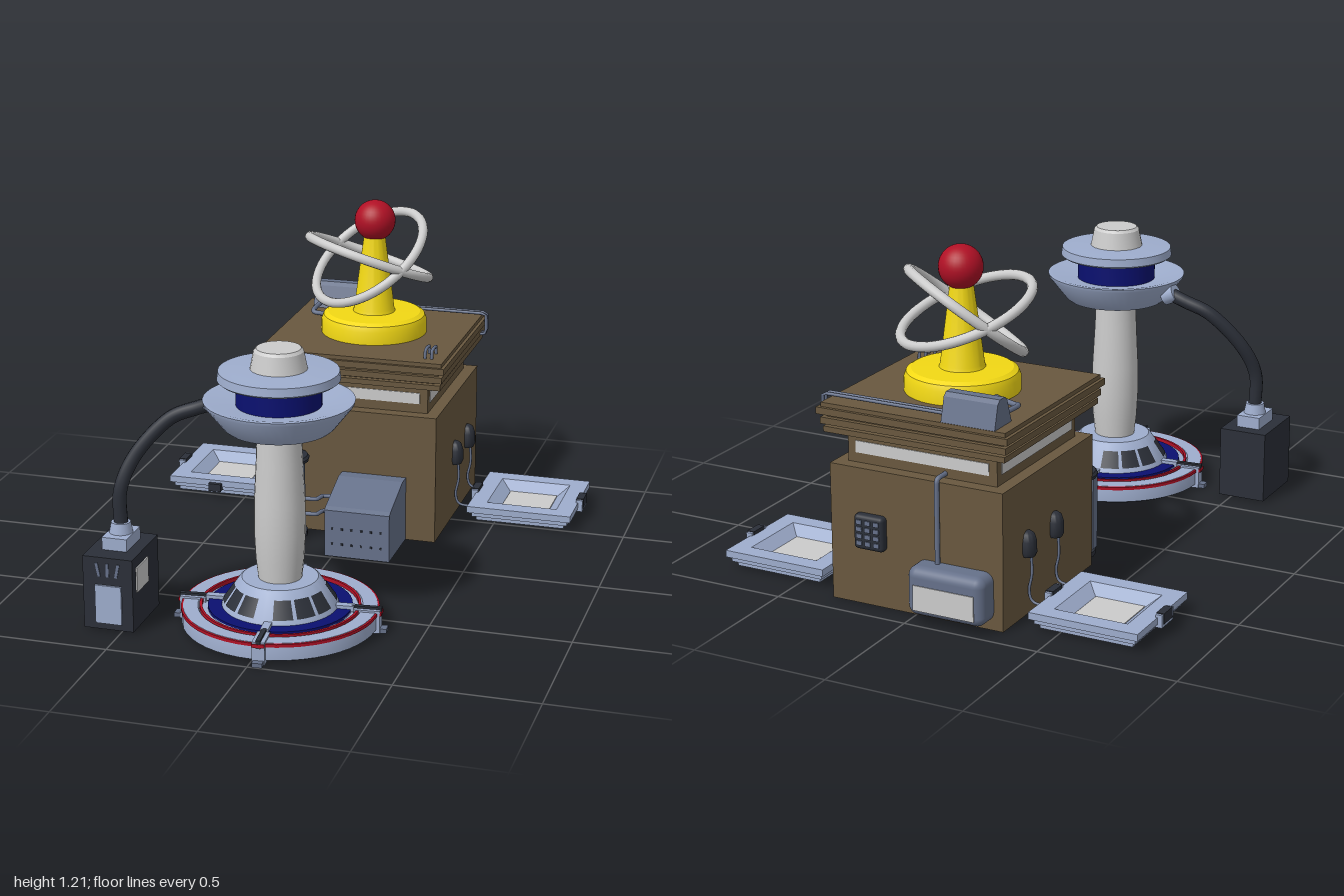
import * as THREE from 'three';
import { toCreasedNormals } from 'three/addons/utils/BufferGeometryUtils.js';
import { RoundedBoxGeometry } from 'three/addons/geometries/RoundedBoxGeometry.js';

const mat = (color) => new THREE.MeshStandardMaterial({ color });
const M = {
  grey: mat(0xcccccc), blue: mat(0x9eadcd), slate: mat(0x66718a), dark: mat(0x2b2f38),
  brown: mat(0x69583f), navy: mat(0x0a1070), red: mat(0xb01025), yellow: mat(0xf2d814),
};
const V = (x, y, z) => new THREE.Vector3(x, y, z);

function add(parent, name, geo, m, x = 0, y = 0, z = 0) {
  const mesh = new THREE.Mesh(geo, m);
  mesh.name = name;
  mesh.position.set(x, y, z);
  parent.add(mesh);
  return mesh;
}
// box given by its low and high corners
function box(parent, name, m, [x0, y0, z0], [x1, y1, z1]) {
  return add(parent, name, new THREE.BoxGeometry(x1 - x0, y1 - y0, z1 - z0), m,
    (x0 + x1) / 2, (y0 + y1) / 2, (z0 + z1) / 2);
}
// turned part, profile of [radius, y] from bottom to top
function turned(parent, name, m, profile, segments = 48, crease = 0.5) {
  const g = new THREE.LatheGeometry(profile.map(([r, y]) => new THREE.Vector2(r, y)), segments);
  return add(parent, name, toCreasedNormals(g, crease), m);
}
function tube(parent, name, m, pts, radius, tension = 0.5, steps = 32) {
  const curve = new THREE.CatmullRomCurve3(pts.map((p) => V(...p)), false, 'catmullrom', tension);
  return add(parent, name, new THREE.TubeGeometry(curve, steps, radius, 10), m);
}
// side profile of [z, y] swept from x0 to x1
function prism(parent, name, m, profile, x0, x1) {
  const shape = new THREE.Shape(profile.map(([z, y]) => new THREE.Vector2(z, y)));
  const g = new THREE.ExtrudeGeometry(shape, { depth: x1 - x0, bevelEnabled: false });
  return add(parent, name, g.rotateY(-Math.PI / 2).translate(x1, 0, 0), m);
}
function group(parent, name, x = 0, y = 0, z = 0) {
  const g = new THREE.Group();
  g.name = name;
  g.position.set(x, y, z);
  parent.add(g);
  return g;
}

function buildTower(root) {
  const t = group(root, 'tower', 0, 0, 0.625);
  turned(t, 'baseUnderside', M.dark, [[0, 0.006], [0.325, 0.006], [0.325, 0.014], [0, 0.014]]);
  turned(t, 'baseDisc', M.blue, [[0.3, 0.01], [0.34, 0.014], [0.34, 0.062], [0.336, 0.075], [0.285, 0.075],
    [0.28, 0.066], [0.25, 0.066], [0.25, 0.07], [0, 0.07]]);
  turned(t, 'redRim', M.red, [[0.338, 0.062], [0.343, 0.062], [0.343, 0.073], [0.335, 0.074]]);
  turned(t, 'redStep', M.red, [[0.279, 0.066], [0.279, 0.08], [0.27, 0.08], [0.27, 0.066]]);
  turned(t, 'navyRing', M.navy, [[0.25, 0.066], [0.25, 0.078], [0.2, 0.078]]);
  turned(t, 'baseCone', M.blue, [[0.205, 0.07], [0.2, 0.085], [0.14, 0.172], [0.132, 0.178], [0, 0.178]]);

  // dark panels round the cone, three to each quadrant
  for (let q = 0; q < 4; q++) {
    for (let k = 0; k < 3; k++) {
      const start = q * Math.PI / 2 + 0.17 + k * 0.43;
      add(t, 'conePanel', new THREE.CylinderGeometry(0.157, 0.196, 0.057, 6, 1, true, start, 0.36), M.dark, 0, 0.123, 0);
    }
    // clamps over the rim
    const c = group(t, 'clamp');
    c.rotation.y = q * Math.PI / 2 + 0.09;
    box(c, 'clampBar', M.blue, [-0.022, 0.0, 0.26], [0.022, 0.082, 0.352]);
    box(c, 'clampRib', M.dark, [-0.008, 0.06, 0.25], [0.008, 0.09, 0.356]);
    box(c, 'clampEnd', M.red, [-0.022, 0.064, 0.352], [0.022, 0.076, 0.357]);
    box(c, 'clampFoot', M.slate, [-0.018, 0, 0.34], [0.018, 0.016, 0.375]);
    box(c, 'coneRib', M.blue, [-0.014, 0.07, 0.12], [0.014, 0.09, 0.26]);
  }
  turned(t, 'column', M.grey, [[0.075, 0.17], [0.084, 0.25], [0.089, 0.35], [0.088, 0.45], [0.08, 0.6], [0.075, 0.73]], 24);
  turned(t, 'saucer', M.blue, [[0, 0.718], [0.18, 0.718], [0.192, 0.728], [0.255, 0.808], [0.258, 0.82], [0.24, 0.82],
    [0.16, 0.802], [0, 0.802]]);
  turned(t, 'navyDrum', M.navy, [[0.146, 0.8], [0.146, 0.89]]);
  turned(t, 'lid', M.blue, [[0, 0.886], [0.2, 0.886], [0.209, 0.893], [0.205, 0.922], [0.165, 0.924], [0.11, 0.928], [0, 0.928]]);
  turned(t, 'cap', M.grey, [[0.098, 0.925], [0.095, 0.94], [0.085, 0.99], [0.076, 1.0], [0, 1.0]], 24);
}

function buildPowerBox(root) {
  const p = group(root, 'powerBox');
  box(p, 'cabinet', M.dark, [-0.635, 0.006, 0.6], [-0.455, 0.27, 0.855]);
  box(p, 'frontPanel', M.blue, [-0.59, 0.03, 0.85], [-0.495, 0.17, 0.863]);
  box(p, 'sidePanel', M.grey, [-0.46, 0.14, 0.71], [-0.45, 0.23, 0.82]);
  for (let i = -1; i <= 1; i++) {
    const s = box(p, 'slot', M.slate, [-0.55 + i * 0.035, 0.2, 0.85], [-0.54 + i * 0.035, 0.25, 0.858]);
    s.rotation.z = -i * 0.2;
  }
  box(p, 'collarBlock', M.blue, [-0.59, 0.27, 0.65], [-0.5, 0.315, 0.785]);
  add(p, 'collar', new THREE.CylinderGeometry(0.034, 0.042, 0.04, 20), M.blue, -0.545, 0.333, 0.715);
  tube(p, 'hose', M.dark, [[-0.545, 0.34, 0.715], [-0.545, 0.47, 0.71], [-0.5, 0.59, 0.665], [-0.4, 0.705, 0.615],
    [-0.3, 0.75, 0.595], [-0.23, 0.775, 0.595]], 0.025, 0.5, 48);
  const joint = add(p, 'hoseJoint', new THREE.CylinderGeometry(0.034, 0.034, 0.05, 20), M.blue, -0.24, 0.77, 0.595);
  joint.rotation.z = 1.15;
}

function buildHouse(root) {
  const h = group(root, 'house', 0, 0, -0.582);
  box(h, 'walls', M.brown, [-0.33, 0, -0.333], [0.33, 0.49, 0.333]);
  box(h, 'neck', M.brown, [-0.285, 0.49, -0.285], [0.285, 0.61, 0.285]);
  for (let i = 0; i < 4; i++) {
    const w = group(h, 'windowSide');
    w.rotation.y = i * Math.PI / 2;
    box(w, 'window', M.grey, [-0.255, 0.525, 0.28], [0.255, 0.567, 0.288]);
  }
  // stepped cornice
  [[0.345, 0.602, 0.622], [0.325, 0.62, 0.635], [0.352, 0.632, 0.655], [0.335, 0.655, 0.67], [0.362, 0.668, 0.692], [0.35, 0.69, 0.707]]
    .forEach(([r, y0, y1]) => box(h, 'cornice', M.brown, [-r, y0, -r], [r, y1, r]));

  // mast with ball and two crossed rings
  turned(h, 'mast', M.yellow, [[0.2, 0.705], [0.2, 0.755], [0.192, 0.775], [0.175, 0.785], [0.08, 0.787], [0.076, 0.8], [0.04, 1.08]]);
  add(h, 'ball', new THREE.SphereGeometry(0.077, 32, 20), M.red, 0, 1.137, -0.005);
  [0.66, -0.38].forEach((tilt) => {
    const ring = add(h, 'ring', new THREE.TorusGeometry(0.238, 0.018, 12, 64), M.grey, -0.025, 0.99, -0.015);
    const s = Math.sin(tilt) * Math.SQRT1_2;
    ring.quaternion.setFromUnitVectors(V(0, 0, 1), V(-s, Math.cos(tilt), s).normalize());
  });

  // roof fittings
  prism(h, 'roofUnit', M.slate, [[-0.35, 0.7], [-0.228, 0.7], [-0.26, 0.79], [-0.275, 0.803], [-0.31, 0.803], [-0.325, 0.79]], -0.31, -0.11);
  tube(h, 'roofCable', M.slate, [[-0.28, 0.73, -0.24], [-0.28, 0.725, -0.13], [-0.25, 0.722, -0.11], [-0.17, 0.73, -0.09]], 0.009);
  [-0.3, -0.28].forEach((z) => tube(h, 'roofPipe', M.slate, [[-0.12, 0.722, z], [0.35, 0.722, z], [0.372, 0.715, z],
    [0.374, 0.65, z], [0.365, 0.64, z], [0.33, 0.638, z]], 0.006, 0.15));
  [0.275, 0.3].forEach((x) => tube(h, 'roofHook', M.slate, [[x, 0.7, 0.225], [x, 0.735, 0.23], [x, 0.74, 0.26], [x, 0.735, 0.29], [x, 0.7, 0.295]], 0.006, 0.3));

  // back wall: cooler, vent and pipe
  const cooler = add(h, 'cooler', new RoundedBoxGeometry(0.29, 0.175, 0.14, 4, 0.035), M.slate, -0.15, 0.118, -0.347);
  cooler.name = 'cooler';
  box(h, 'coolerGrille', M.grey, [-0.265, 0.055, -0.42], [-0.035, 0.145, -0.413]);
  add(h, 'vent', new RoundedBoxGeometry(0.115, 0.125, 0.05, 3, 0.015), M.dark, 0.17, 0.27, -0.337);
  for (let i = 0; i < 12; i++) {
    const x = 0.137 + (i % 3) * 0.033, y = 0.233 + Math.floor(i / 3) * 0.025;
    box(h, 'ventHole', M.slate, [x - 0.011, y - 0.008, -0.366], [x + 0.011, y + 0.008, -0.36]);
  }
  tube(h, 'backPipe', M.slate, [[-0.09, 0.505, -0.27], [-0.09, 0.505, -0.33], [-0.09, 0.49, -0.345], [-0.09, 0.19, -0.345]], 0.009, 0.15);

  // lamps and their cables on both side walls
  [-1, 1].forEach((s) => [0.037, -0.163].forEach((z) => {
    const lamp = group(h, 'wallLamp', s * 0.335, 0, z);
    turned(lamp, 'lampHood', M.dark, [[0, 0.215], [0.024, 0.215], [0.031, 0.23], [0.03, 0.27], [0.022, 0.295], [0.01, 0.304], [0, 0.305]], 20, 0.8);
    tube(lamp, 'lampCable', M.slate, [[s * 0.012, 0.22, 0], [s * 0.014, 0.15, 0], [s * 0.004, 0.09, 0], [s * 0.02, 0.05, 0], [s * 0.08, 0.045, 0]], 0.005);
  }));
}

function buildFrontFittings(root) {
  // round booth
  const b = group(root, 'booth', -0.225, 0, -0.18);
  turned(b, 'boothFoot', M.dark, [[0, 0.002], [0.078, 0.002], [0.078, 0.02], [0, 0.02]], 16);
  turned(b, 'boothBody', M.blue, [[0.068, 0.02], [0.068, 0.3]], 16, 0.3);
  turned(b, 'boothCap', M.dark, [[0, 0.298], [0.082, 0.298], [0.085, 0.31], [0.078, 0.32], [0, 0.32]], 16);
  [-1, 1].forEach((s) => {
    box(b, 'boothDoor', M.blue, [s * 0.021 - 0.018, 0.03, 0.05], [s * 0.021 + 0.018, 0.28, 0.072]);
    box(b, 'boothPost', M.slate, [s * 0.055 - 0.011, 0.02, 0.02], [s * 0.055 + 0.011, 0.3, 0.055]);
  });
  box(b, 'doorSeam', M.dark, [-0.003, 0.03, 0.05], [0.003, 0.28, 0.069]);

  // sloped bin with rivets, and the pipes to it
  prism(root, 'bin', M.slate, [[-0.25, 0], [-0.012, 0], [-0.012, 0.18], [-0.03, 0.19], [-0.2, 0.247], [-0.25, 0.247]], -0.03, 0.217);
  for (let i = 0; i < 12; i++) {
    const x = 0.0 + (i % 6) * 0.037, y = 0.05 + Math.floor(i / 6) * 0.06;
    box(root, 'binRivet', M.dark, [x - 0.004, y - 0.004, -0.014], [x + 0.004, y + 0.004, -0.008]);
  }
  [0.1, 0.16].forEach((y) => tube(root, 'binPipe', M.slate, [[-0.16, y, -0.155], [-0.105, y, -0.16], [-0.09, y, -0.2], [-0.02, y, -0.205]], 0.008, 0.3));
}

function buildPad(root, side) {
  const p = group(root, side > 0 ? 'leftPad' : 'rightPad', side * 0.6, 0, -0.672);
  // square stepped tray: a four-sided turned profile of half widths
  const profile = [[0, 0.008], [0.17, 0.008], [0.17, 0.024], [0.185, 0.026], [0.185, 0.042], [0.2, 0.045], [0.2, 0.07],
    [0.135, 0.07], [0.093, 0.035], [0, 0.035]].map(([r, y]) => [r * Math.SQRT2, y]);
  turned(p, 'tray', M.blue, profile, 4).rotation.y = Math.PI / 4;
  box(p, 'trayFloor', M.grey, [-0.092, 0.03, -0.092], [0.092, 0.038, 0.092]);
  [-1, 1].forEach((s) => {
    box(p, 'handle', M.blue, [s * 0.205 - 0.012, 0.035, -0.045], [s * 0.205 + 0.012, 0.08, 0.045]);
    box(p, 'handleGrip', M.dark, [s * 0.205 - 0.014, 0.045, -0.034], [s * 0.205 + 0.014, 0.083, 0.034]);
  });
  if (side < 0) box(p, 'plug', M.dark, [-0.035, 0.03, 0.19], [0.015, 0.06, 0.218]);
}

export function createModel() {
  const root = new THREE.Group();
  root.name = 'station';
  buildTower(root);
  buildPowerBox(root);
  buildHouse(root);
  buildFrontFittings(root);
  [-1, 1].forEach((s) => buildPad(root, s));
  return root;
}
